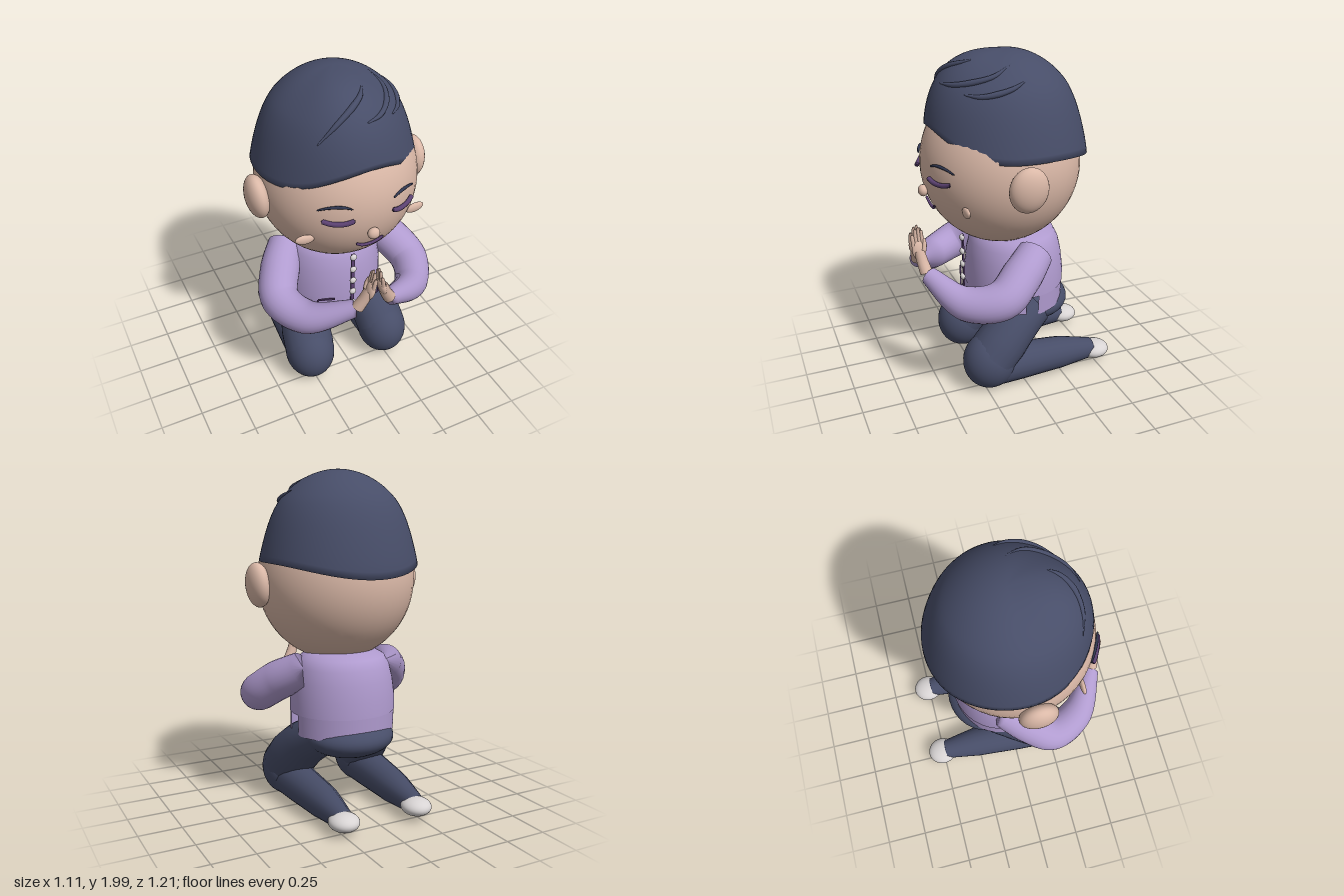
import * as THREE from 'three';

const mat = (name, color, side = THREE.FrontSide) => {
  const m = new THREE.MeshStandardMaterial({ color, side });
  m.name = name;
  return m;
};

export function createModel() {
  const skin = mat('skin', 0xdab8a7);
  const navy = mat('navy', 0x474d68, THREE.DoubleSide);
  const lilac = mat('lilac', 0xb09bcf, THREE.DoubleSide);
  const plum = mat('plum', 0x5c4272);
  const brow = mat('brow', 0x30364f);
  const pale = mat('pale', 0xd8d4d4);

  const root = new THREE.Group();
  root.name = 'kneelingFigure';
  const v = (p) => new THREE.Vector3(...p);

  const add = (name, geo, material, parent = root) => {
    const m = new THREE.Mesh(geo, material);
    m.name = name;
    parent.add(m);
    return m;
  };
  const ball = (name, pos, scale, material, parent = root, w = 32) => {
    const m = add(name, new THREE.SphereGeometry(1, w, Math.ceil(w * 0.7)), material, parent);
    m.position.set(...pos);
    m.scale.set(...scale);
    return m;
  };
  // Swept tube with a radius per control point and closed ends
  const limb = (name, pts, radii, material, parent = root, segs = 40, sides = 20) => {
    const curve = new THREE.CatmullRomCurve3(pts.map(v));
    const geo = new THREE.TubeGeometry(curve, segs, 1, sides, false);
    const pos = geo.attributes.position;
    const p = new THREE.Vector3(), c = new THREE.Vector3();
    for (let i = 0; i <= segs; i++) {
      curve.getPointAt(i / segs, c);
      const u = curve.getUtoTmapping(i / segs) * (radii.length - 1);
      const k = Math.min(Math.floor(u), radii.length - 2);
      let r = THREE.MathUtils.lerp(radii[k], radii[k + 1], u - k);
      if (i === 0 || i === segs) r = 0;
      for (let j = 0; j <= sides; j++) {
        const n = i * (sides + 1) + j;
        p.fromBufferAttribute(pos, n).sub(c).multiplyScalar(r).add(c);
        pos.setXYZ(n, p.x, p.y, p.z);
      }
    }
    return add(name, geo, material, parent);
  };

  // Head
  const head = new THREE.Group();
  head.name = 'head';
  root.add(head);
  ball('face', [0, 1.36, 0.045], [0.467, 0.48, 0.465], skin, head, 48);
  const onFace = (x, y, out) => [x, y, 0.045 + out +
    Math.sqrt(0.465 ** 2 - x * x - ((y - 1.36) * 0.465 / 0.48) ** 2)];
  ball('nose', [0, 1.233, 0.513], [0.036, 0.034, 0.028], skin, head, 20);
  limb('mouth', [[-0.085, 1.162], [-0.045, 1.137], [0, 1.13], [0.045, 1.137], [0.085, 1.162]]
    .map(([x, y]) => onFace(x, y, 0.012)), [0.008, 0.009, 0.009, 0.009, 0.008], plum, head, 24, 8);
  for (const s of [-1, 1]) {
    const ear = ball('ear', [s * 0.488, 1.345, 0.068], [0.065, 0.13, 0.112], skin, head);
    ear.rotation.z = -s * 0.08;
    const cheek = ball('cheek', [s * 0.341, 1.205, 0.37], [0.057, 0.029, 0.016], skin, head, 20);
    cheek.rotation.z = s * 0.15;
    limb('closedEye', [[0.112, 1.35], [0.155, 1.336], [0.195, 1.332], [0.235, 1.336], [0.275, 1.35]]
      .map(([x, y]) => onFace(s * x, y, 0.016)), [0.013, 0.014, 0.014, 0.014, 0.013], plum, head, 24, 8);
    limb('eyebrow', [[0.12, 1.416], [0.16, 1.43], [0.2, 1.433], [0.25, 1.425], [0.29, 1.408]]
      .map(([x, y]) => onFace(s * x, y, 0.008)), [0.004, 0.008, 0.009, 0.007, 0.004], brow, head, 24, 8);
  }

  // Hair cap: a quiff swells the front, the sides flare out to the edge
  const hairRadius = (phi, y) => {
    const h = THREE.MathUtils.clamp((y - 1.42) / 0.58, 0, 1);
    const quiff = Math.max(0, Math.cos(phi + 0.22)) ** 4;
    const sides = Math.sqrt(1 - h * h) * (1 - 0.035 * Math.sin(Math.PI * Math.min(1, h / 0.7)));
    return 0.47 * THREE.MathUtils.lerp(sides, Math.cbrt(1 - h ** 2.6), quiff);
  };
  const hairPoint = (phi, y, k = 1) => {
    const r = hairRadius(phi, y) * k;
    return [Math.sin(phi) * r * 1.012, y, Math.cos(phi) * r + 0.012];
  };
  const rows = 32, cols = 64, verts = [], index = [];
  for (let i = 0; i <= rows + 1; i++) {
    for (let j = 0; j < cols; j++) {
      const phi = j / cols * Math.PI * 2, c = Math.cos(phi);
      const edge = 1.475 + 0.13 * Math.max(0, c) ** 4 - 0.078 * Math.max(0, -c) ** 2.5;
      const t = Math.min(i / rows, 1) ** 1.4;
      const y = edge + (2 - edge) * Math.cos(t * Math.PI / 2);
      verts.push(...hairPoint(phi, y, i > rows ? 0.94 : 1));
      if (i <= rows) {
        const a = i * cols + j, b = i * cols + (j + 1) % cols;
        index.push(a, a + cols, b, b, a + cols, b + cols);
      }
    }
  }
  const hairGeo = new THREE.BufferGeometry();
  hairGeo.setAttribute('position', new THREE.Float32BufferAttribute(verts, 3));
  hairGeo.setIndex(index);
  hairGeo.computeVertexNormals();
  add('hair', hairGeo, navy, head);

  // Raised locks lying on the hair
  const onHair = ([x, z]) => {
    const phi = Math.atan2(x / 1.012, z - 0.012), r = Math.hypot(x / 1.012, z - 0.012);
    let lo = 1.42, hi = 2;
    for (let i = 0; i < 30; i++) {
      const m = (lo + hi) / 2;
      if (hairRadius(phi, m) > r) lo = m; else hi = m;
    }
    return [x, lo - 0.002, z];
  };
  for (const path of [
    [[-0.25, 0.345], [-0.15, 0.36], [-0.05, 0.335], [0.02, 0.285], [0.06, 0.22]],
    [[0, 0.395], [0.1, 0.355], [0.18, 0.27], [0.22, 0.16], [0.18, 0.04]],
    [[0.19, 0.32], [0.26, 0.25], [0.3, 0.17], [0.31, 0.09], [0.29, 0.01]],
  ]) limb('hairLock', path.map(onHair), [0.004, 0.014, 0.018, 0.014, 0.004], navy, head, 30, 8);

  // Shirt: closed upper part, with front and back flaps split at the sides
  const shirt = new THREE.Group();
  shirt.name = 'shirt';
  root.add(shirt);
  const lathe = (name, prof, start, len) => {
    const pts = prof.map(([r, y]) => new THREE.Vector2(r, y));
    const m = add(name, new THREE.LatheGeometry(pts, 40, start, len), lilac, shirt);
    m.scale.z = 0.94;
    m.position.z = -0.04;
  };
  lathe('shirtBody', [[0.32, 0.59], [0.318, 0.68], [0.305, 0.78], [0.285, 0.86], [0.255, 0.915],
    [0.2, 0.945], [0.1, 0.955], [0.001, 0.955]], 0, Math.PI * 2);
  lathe('shirtFrontFlap', [[0.318, 0.453], [0.317, 0.605]], -1.43, 2.86);
  lathe('shirtBackFlap', [[0.312, 0.463], [0.317, 0.605]], 1.7, Math.PI * 2 - 3.4);
  const plate = (name, w, h, x, y, z, turn = 0) => {
    const m = add(name, new THREE.BoxGeometry(w, h, 0.009), plum, shirt);
    m.position.set(x, y, z);
    m.rotation.y = turn;
  };
  plate('placket', 0.022, 0.46, 0, 0.69, 0.283);
  for (const y of [0.9, 0.81, 0.725, 0.64, 0.55])
    ball('button', [0, y, 0.289], [0.021, 0.021, 0.015], pale, shirt, 16);
  for (const s of [-1, 1]) {
    plate('pocketTop', 0.1, 0.01, s * 0.158, 0.603, 0.252, s * 0.35);
    plate('pocketSide', 0.01, 0.085, s * 0.207, 0.56, 0.236, s * 0.35);
    plate('pocketBottom', 0.09, 0.01, s * 0.165, 0.52, 0.25, s * 0.35);
  }

  // Hips
  ball('hips', [0, 0.44, -0.13], [0.27, 0.12, 0.25], navy);

  for (const s of [-1, 1]) {
    const side = s > 0 ? 'left' : 'right';
    const at = (pts) => pts.map(([x, y, z]) => [s * x, y, z]);

    // Folded leg and foot
    const leg = new THREE.Group();
    leg.name = side + 'Leg';
    root.add(leg);
    limb('thigh', at([[0.175, 0.455, -0.11], [0.215, 0.38, 0.02], [0.245, 0.285, 0.13], [0.256, 0.2, 0.21]]),
      [0.12, 0.142, 0.154, 0.154], navy, leg);
    ball('knee', [s * 0.257, 0.185, 0.212], [0.152, 0.178, 0.165], navy, leg);
    limb('shin', at([[0.255, 0.135, 0.22], [0.25, 0.125, 0.02], [0.24, 0.11, -0.26], [0.235, 0.088, -0.495]]),
      [0.125, 0.116, 0.099, 0.06], navy, leg);
    ball('foot', [s * 0.237, 0.08, -0.505], [0.088, 0.052, 0.095], pale, leg);

    // Sleeve
    const arm = new THREE.Group();
    arm.name = side + 'Arm';
    root.add(arm);
    limb('sleeve', at([[0.27, 0.86, -0.075], [0.37, 0.78, 0.055], [0.435, 0.685, 0.2],
      [0.345, 0.655, 0.385], [0.105, 0.755, 0.54]]), [0.105, 0.118, 0.115, 0.1, 0.05], lilac, arm, 50, 24);

    // Hand pressed against the other
    limb('wrist', at([[0.105, 0.755, 0.54], [0.07, 0.82, 0.553], [0.044, 0.885, 0.563]]),
      [0.038, 0.034, 0.03], skin, arm, 20, 14);
    const palm = ball('palm', [s * 0.036, 0.885, 0.565], [0.023, 0.062, 0.039], skin, arm, 20);
    palm.rotation.z = s * 0.25;
    [0.975, 1.01, 1.02, 1.0].forEach((tip, i) => {
      const z = 0.594 - i * 0.018;
      limb('finger', at([[0.032, 0.9, z - 0.003], [0.024, 0.95, z], [0.016, tip, z]]),
        [0.013, 0.012, 0.008], skin, arm, 12, 8);
    });
    limb('thumb', at([[0.058, 0.86, 0.545], [0.043, 0.91, 0.53], [0.024, 0.95, 0.528]]),
      [0.016, 0.014, 0.009], skin, arm, 12, 8);
  }
  return root;
}
